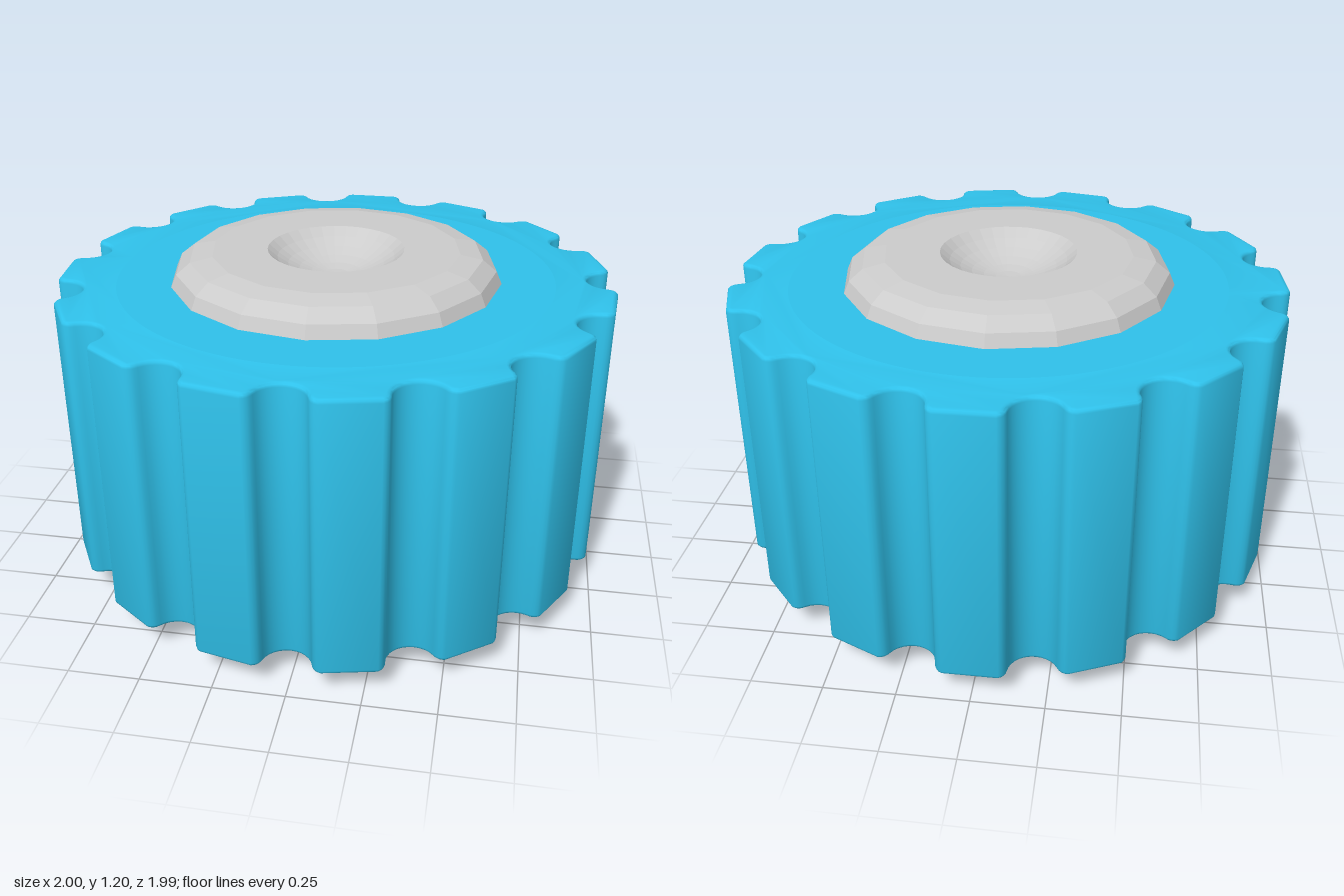
import * as THREE from 'three';
import { toCreasedNormals } from 'three/addons/utils/BufferGeometryUtils.js';

const TEETH = 15, BOTTOM = 0.1, TOP = 1.1, BEVEL = 0.015;
const HUB_SIDES = 16, FLAT_R = 0.445, DIMPLE_R = 0.245, DIMPLE_DEPTH = 0.1;

const v = (x, y) => new THREE.Vector2(x, y);

// One scalloped notch as (across, outward) points: rounded shoulder, arc, shoulder
function notchProfile() {
  const shoulder = new THREE.QuadraticBezierCurve(v(-0.115, 0.993), v(-0.088, 0.988), v(-0.081, 0.96)).getPoints(4);
  const arc = [];
  for (let i = 1; i < 12; i++) {
    const a = THREE.MathUtils.lerp(-73, 73, i / 12) * Math.PI / 180;
    arc.push(v(0.085 * Math.sin(a), 0.985 - 0.085 * Math.cos(a)));
  }
  const mirrored = shoulder.map(p => v(-p.x, p.y)).reverse();
  return [...shoulder, ...arc, ...mirrored];
}

// Notched outline with a tooth pointing to the back
function gripShape() {
  const profile = notchProfile(), points = [];
  for (let k = 0; k < TEETH; k++) {
    const a = (k + 0.5) * 2 * Math.PI / TEETH, s = Math.sin(a), c = Math.cos(a);
    for (const p of profile) points.push(v(p.y * s + p.x * c, p.y * c - p.x * s));
  }
  const shape = new THREE.Shape(points);
  shape.holes.push(new THREE.Path().absarc(0, 0, 0.8, 0, Math.PI * 2, true));
  return shape;
}

export function createModel() {
  const group = new THREE.Group();
  const blue = new THREE.MeshStandardMaterial({ color: 0x2fc1ea });
  const grey = new THREE.MeshStandardMaterial({ color: 0xcccccc });
  const greyFlat = new THREE.MeshStandardMaterial({ color: 0xcccccc, flatShading: true });
  const add = (name, geometry, material) => {
    const mesh = new THREE.Mesh(geometry, material);
    mesh.name = name;
    group.add(mesh);
  };

  // Notched outer ring with softened edges
  const ring = new THREE.ExtrudeGeometry(gripShape(), {
    depth: TOP - BOTTOM - 2 * BEVEL, curveSegments: 48,
    bevelThickness: BEVEL, bevelSize: BEVEL, bevelOffset: -BEVEL, bevelSegments: 3,
  });
  ring.rotateX(-Math.PI / 2).translate(0, BOTTOM + BEVEL, 0);
  add('gripRing', toCreasedNormals(ring, 0.7), blue);

  // Inner disc; its chamfers leave a thin groove against the ring
  const disc = new THREE.LatheGeometry([
    v(0.5, BOTTOM), v(0.785, BOTTOM), v(0.803, BOTTOM + 0.02),
    v(0.803, TOP - 0.02), v(0.785, TOP), v(0.5, TOP),
  ], 96);
  add('innerDisc', toCreasedNormals(disc, 0.5), blue);

  // Faceted hub with rounded rims and a closed underside
  const rim = [[0.595, 0.1], [0.575, 0.055], [0.525, 0.015], [FLAT_R, 0]];
  const lower = rim.map(([r, y]) => v(r, y)).reverse();
  const upper = rim.map(([r, y]) => v(r, 1.2 - y));
  add('hub', new THREE.LatheGeometry([v(0, 0), ...lower, ...upper], HUB_SIDES), greyFlat);

  // Flat top of the hub around the dimple
  const face = new THREE.Shape();
  for (let i = 0; i < HUB_SIDES; i++) {
    const a = i / HUB_SIDES * Math.PI * 2;
    face[i ? 'lineTo' : 'moveTo'](FLAT_R * Math.cos(a), FLAT_R * Math.sin(a));
  }
  face.holes.push(new THREE.Path().absarc(0, 0, DIMPLE_R, 0, Math.PI * 2, true));
  const top = new THREE.ShapeGeometry(face, 16);
  top.rotateX(-Math.PI / 2).translate(0, 1.2, 0);
  add('hubTop', top, grey);

  // Spherical dimple
  const R = (DIMPLE_R ** 2 + DIMPLE_DEPTH ** 2) / (2 * DIMPLE_DEPTH);
  const edge = Math.asin(DIMPLE_R / R), bowl = [];
  for (let i = 0; i <= 6; i++) {
    const a = edge * (1 - i / 6);
    bowl.push(v(R * Math.sin(a), 1.2 - DIMPLE_DEPTH + R * (1 - Math.cos(a))));
  }
  add('dimple', new THREE.LatheGeometry(bowl, 32), greyFlat);

  return group;
}
